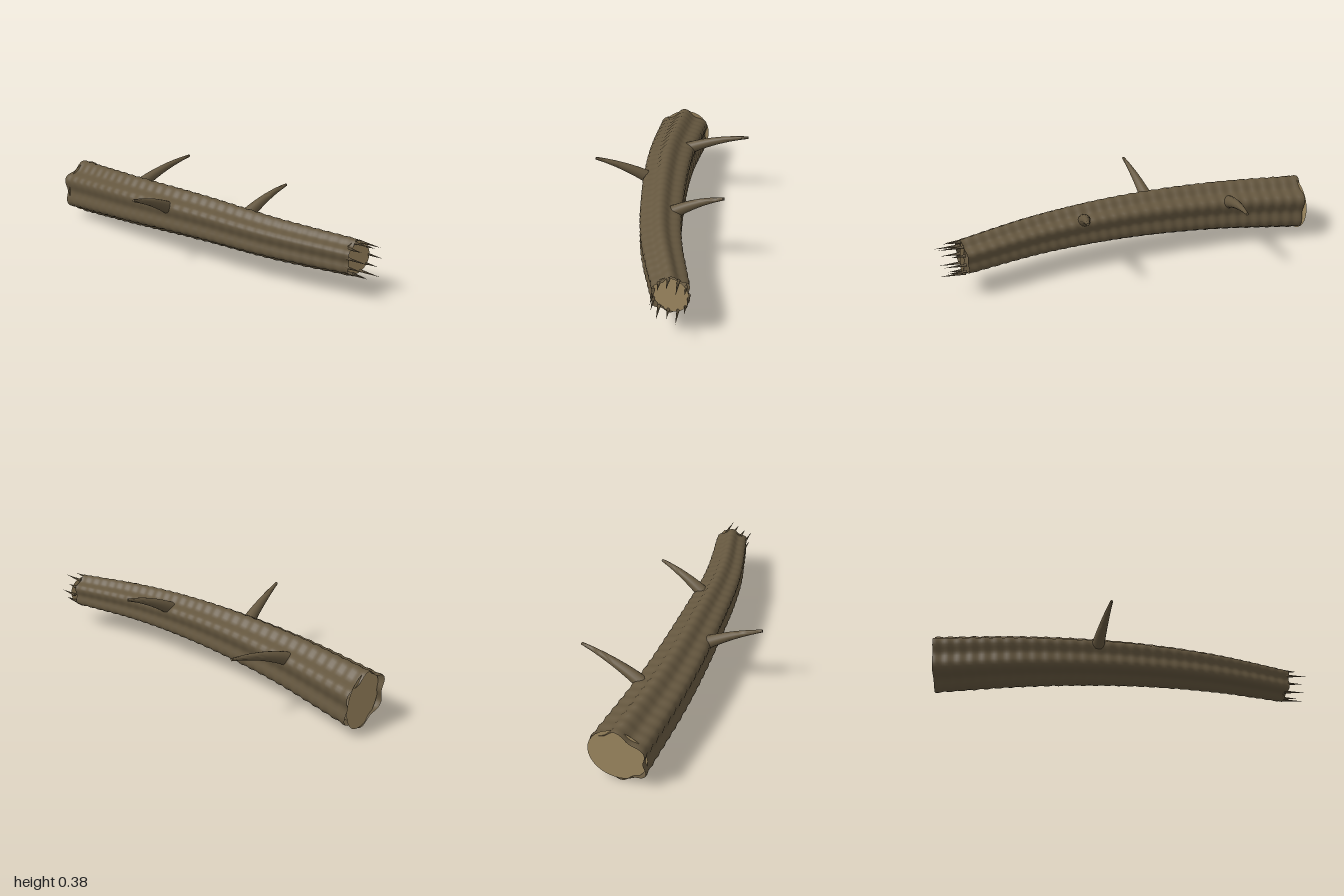
import * as THREE from 'three';
import { mergeVertices, toCreasedNormals } from 'three/addons/utils/BufferGeometryUtils.js';

const V = (x, y, z) => new THREE.Vector3(x, y, z);
const bark = new THREE.MeshStandardMaterial({ color: 0x65573f, side: THREE.DoubleSide });
const wood = new THREE.MeshStandardMaterial({ color: 0xa08a62, side: THREE.DoubleSide });

// Bends a unit cylinder along a curve; radius(t, angle) shapes each cross-section
function sweep(curve, radius, sides, rings, open) {
  let geo = new THREE.CylinderGeometry(1, 1, 1, sides, rings, open);
  const p = geo.attributes.position;
  const up = V(0, 1, 0);
  for (let i = 0; i < p.count; i++) {
    const t = THREE.MathUtils.clamp(p.getY(i) + 0.5, 0, 1);
    const tangent = curve.getTangent(t);
    const side = tangent.clone().cross(up).normalize();
    const top = side.clone().cross(tangent);
    const r = radius(t, Math.atan2(p.getX(i), p.getZ(i)));
    const q = curve.getPoint(t)
      .addScaledVector(side, p.getX(i) * r)
      .addScaledVector(top, p.getZ(i) * r);
    p.setXYZ(i, q.x, q.y, q.z);
  }
  geo.deleteAttribute('uv');
  geo.deleteAttribute('normal');
  geo = mergeVertices(geo, 1e-5);
  geo.computeVertexNormals();
  return geo;
}

export function createModel() {
  const group = new THREE.Group();
  const add = (name, geo, mat) => {
    const mesh = new THREE.Mesh(geo, mat);
    mesh.name = name;
    group.add(mesh);
    return mesh;
  };

  // Trunk: six lengthwise ridges with fine rings of bark
  const spine = new THREE.CatmullRomCurve3([
    V(-0.99, 0.157, 0.01), V(-0.5, 0.19, 0.036), V(0, 0.21, 0.02),
    V(0.45, 0.205, -0.025), V(0.868, 0.194, -0.122),
  ]);
  const trunkRadius = (t, a) =>
    (0.14 - 0.053 * t) * (1 + 0.1 * Math.cos(6 * a) + 0.018 * Math.sin(t * Math.PI * 2 * 32));
  add('trunk', sweep(spine, trunkRadius, 60, 192, true), bark);

  // Cut faces, slightly askew in the trunk ends
  const nearCut = add('cutEnd', new THREE.CircleGeometry(0.145, 32), wood);
  nearCut.position.set(-0.982, 0.16, 0.005);
  nearCut.rotation.y = Math.atan2(-1, 0.1);
  const farCut = add('brokenEnd', new THREE.CircleGeometry(0.087, 32), wood);
  farCut.position.set(0.868, 0.194, -0.122);
  farCut.rotation.y = Math.atan2(1, 0.25);

  // Branch stubs: start, bend, tip
  const branches = [
    [V(-0.17, 0.235, 0.09), V(-0.15, 0.325, 0.235), V(-0.122, 0.371, 0.397)],
    [V(-0.575, 0.235, -0.03), V(-0.55, 0.325, -0.2), V(-0.522, 0.354, -0.397)],
    [V(0.225, 0.25, -0.04), V(0.25, 0.345, -0.175), V(0.277, 0.379, -0.315)],
  ];
  for (const points of branches) {
    const curve = new THREE.QuadraticBezierCurve3(...points);
    const geo = sweep(curve, (t) => 0.037 - 0.03 * t, 14, 14, false);
    add('branch', toCreasedNormals(geo, 0.9), bark);
  }

  // Ring of splinters around the broken end
  const lengths = [0.11, 0.07, 0.125, 0.09, 0.075, 0.13, 0.1, 0.115, 0.08, 0.13, 0.095];
  lengths.forEach((length, i) => {
    const a = (i / lengths.length) * Math.PI * 2;
    const geo = new THREE.ConeGeometry(0.008, length, 6);
    geo.rotateZ(-Math.PI / 2);
    const z = -0.122 - 0.081 * Math.cos(a);
    const y = 0.194 + 0.081 * Math.sin(a);
    add('splinter', geo, bark).position.set(0.862 + length / 2 + 0.05 * (z + 0.122), y, z);
  });
  return group;
}
